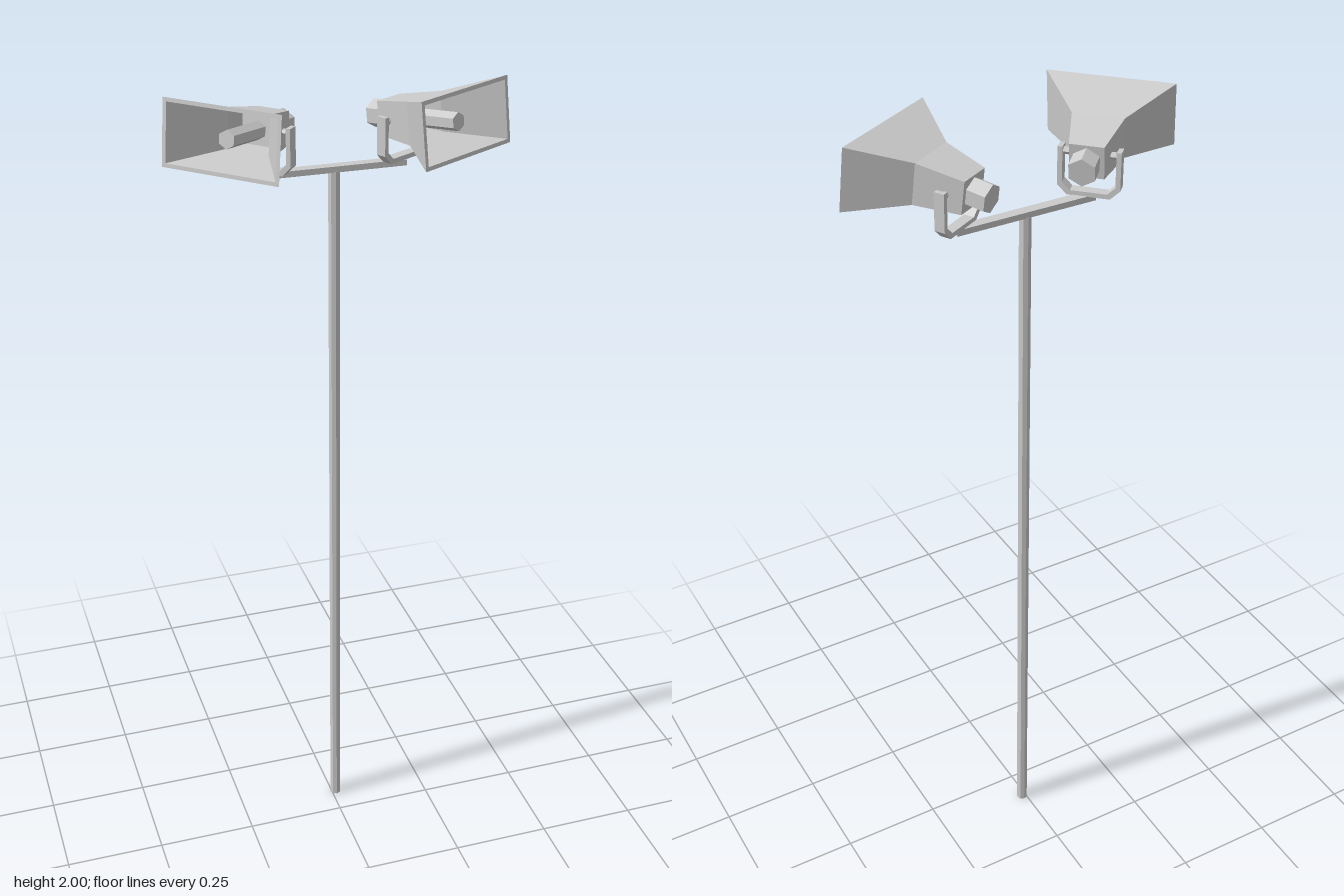
import * as THREE from 'three';

const material = new THREE.MeshStandardMaterial({ color: 0xcccccc, flatShading: true });

function add(parent, name, geometry, x = 0, y = 0, z = 0) {
  const mesh = new THREE.Mesh(geometry, material);
  mesh.name = name;
  mesh.position.set(x, y, z);
  parent.add(mesh);
  return mesh;
}

// Rectangular cross-sections [z, width, height] joined into a capped skin
function loftRectangles(sections) {
  const positions = [];
  const index = [];
  for (const [z, w, h] of sections) {
    positions.push(-w / 2, -h / 2, z, w / 2, -h / 2, z, w / 2, h / 2, z, -w / 2, h / 2, z);
  }
  for (let s = 0; s < sections.length - 1; s++) {
    for (let i = 0; i < 4; i++) {
      const a = s * 4 + i, b = s * 4 + (i + 1) % 4;
      index.push(a, b, b + 4, a, b + 4, a + 4);
    }
  }
  const e = (sections.length - 1) * 4;
  index.push(0, 2, 1, 0, 3, 2, e, e + 1, e + 2, e, e + 2, e + 3);
  const geometry = new THREE.BufferGeometry();
  geometry.setAttribute('position', new THREE.Float32BufferAttribute(positions, 3));
  geometry.setIndex(index);
  const flat = geometry.toNonIndexed();
  flat.computeVertexNormals();
  return flat;
}

// U-shaped strap with chamfered lower corners, extruded along z
function strapGeometry(half, height, chamfer, thick, width) {
  const shape = new THREE.Shape();
  const inner = half - thick, c = chamfer - thick * 0.4;
  const points = [
    [-half, height], [-half, chamfer], [-half + chamfer, 0],
    [half - chamfer, 0], [half, chamfer], [half, height],
    [inner, height], [inner, thick + c], [inner - c, thick],
    [-inner + c, thick], [-inner, thick + c], [-inner, height],
  ];
  shape.setFromPoints(points.map(([x, y]) => new THREE.Vector2(x, y)));
  const geometry = new THREE.ExtrudeGeometry(shape, { depth: width, bevelEnabled: false });
  return geometry.translate(0, 0, -width / 2);
}

function createSpeaker(name, x, z, yaw) {
  const speaker = new THREE.Group();
  speaker.name = name;
  speaker.position.set(x, 1.803, z);
  speaker.rotation.y = yaw;

  // Mounting strap and its pivot bolts
  add(speaker, 'bracket', strapGeometry(0.07, 0.11, 0.022, 0.011, 0.025));
  for (const side of [-1, 1]) {
    const bolt = add(speaker, 'pivotBolt', new THREE.CylinderGeometry(0.008, 0.008, 0.03, 6), side * 0.053, 0.097, 0);
    bolt.rotation.z = Math.PI / 2;
  }

  // Horn assembly, tipped slightly upwards
  const head = new THREE.Group();
  head.name = 'hornAssembly';
  head.position.y = 0.099;
  head.rotation.x = -0.12;
  speaker.add(head);

  // Outer skin, lip, then inner skin back to the throat
  add(head, 'horn', loftRectangles([
    [-0.038, 0.077, 0.077],
    [0.070, 0.117, 0.097],
    [0.190, 0.290, 0.150],
    [0.190, 0.272, 0.132],
    [0.072, 0.104, 0.082],
    [0.030, 0.080, 0.066],
  ]));

  // Hexagonal driver behind and sound tube inside
  add(head, 'driver', new THREE.CylinderGeometry(0.033, 0.033, 0.05, 6), 0, 0, -0.058).rotation.x = Math.PI / 2;
  add(head, 'soundTube', new THREE.CylinderGeometry(0.021, 0.021, 0.14, 6), 0, 0, 0.095).rotation.x = Math.PI / 2;
  return speaker;
}

export function createModel() {
  const model = new THREE.Group();
  model.name = 'loudspeakerPole';

  // Pole and crossbar
  add(model, 'pole', new THREE.CylinderGeometry(0.014, 0.014, 1.792, 8), 0.01, 0.896, -0.075);
  add(model, 'crossbar', new THREE.BoxGeometry(0.34, 0.014, 0.025), 0.01, 1.797, -0.075);

  // Two horns turned away from each other
  model.add(createSpeaker('rightSpeaker', -0.148, -0.079, -Math.PI / 4));
  model.add(createSpeaker('leftSpeaker', 0.172, -0.077, 0.508));
  return model;
}
